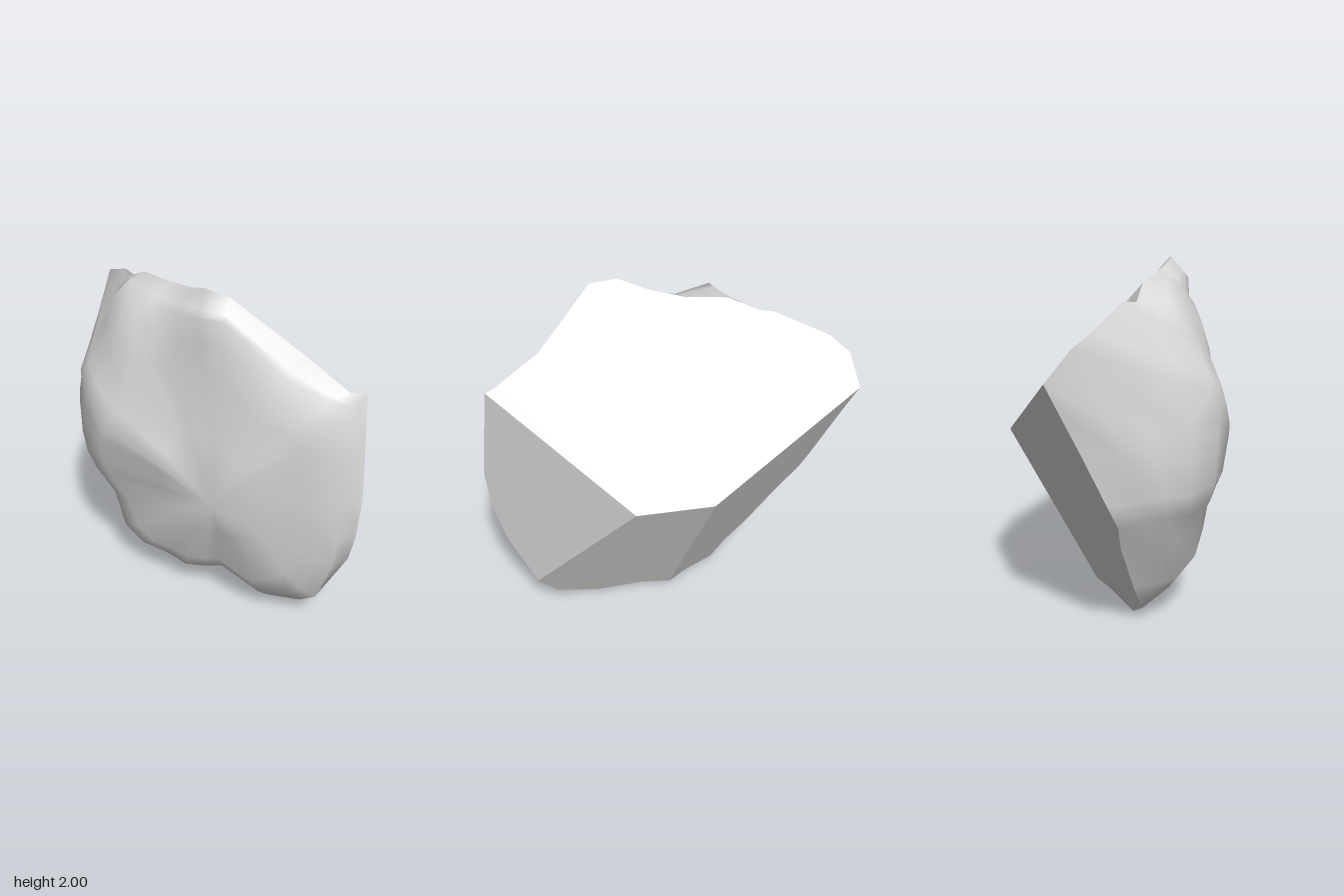
import * as THREE from 'three';

// Broken edge of the stone, anticlockwise from the top as seen from the front
const RIM = [
  [.04, 2, .38], [-.08, 1.95, .27], [-.25, 1.91, .13], [-.46, 1.90, .01], [-.61, 1.82, -.08],
  [-.66, 1.83, -.17], [-.88, 1.72, -.40], [-.93, 1.65, -.52], [-.91, 1.49, -.65], [-.90, 1.35, -.58],
  [-.90, 1.13, -.47], [-.89, .85, -.335], [-.88, .72, -.27], [-.75, .55, -.21], [-.61, .25, -.085],
  [-.53, .08, 0], [-.40, 0, -.01], [-.15, .05, -.07], [0, .05, -.10], [.15, .05, -.01],
  [.42, .03, .11], [.68, .12, .17], [.78, .22, .21], [.88, .50, .38], [.92, .70, .44],
  [.94, .97, .46], [.92, 1.28, .41], [.90, 1.55, .37], [.82, 1.55, .40], [.57, 1.70, .36], [.19, 1.99, .43],
];
// Worn shoulder just inside the edge, point for point
const SHOULDER = [
  [.04, 1.88, .49], [-.10, 1.86, .41], [-.30, 1.85, .30], [-.46, 1.92, .19], [-.58, 1.80, .19],
  [-.60, 1.60, .26], [-.70, 1.43, .30], [-.77, 1.36, .27], [-.85, 1.23, .13], [-.87, 1.15, .12],
  [-.88, 1.04, .12], [-.88, .85, .12], [-.82, .72, .15], [-.70, .53, .12], [-.62, .27, .16],
  [-.48, .16, .18], [-.30, .12, .18], [-.15, .08, .24], [0, .11, .25], [.13, .15, .25],
  [.41, .04, .31], [.62, .13, .39], [.72, .23, .45], [.81, .50, .48], [.84, .72, .51],
  [.85, .97, .50], [.84, 1.25, .50], [.83, 1.46, .47], [.73, 1.53, .47], [.50, 1.62, .49], [.18, 1.88, .50],
];
// Depth of the front face a third of the way from shoulder to peak
const FACE_DEPTH = [
  .49, .48, .46, .44, .45, .47, .50, .505, .50, .49, .475, .455, .44, .43, .43, .44,
  .445, .45, .455, .465, .50, .515, .53, .54, .55, .56, .565, .57, .57, .57, .51,
];
const PEAK = [.16, .87, .65];
const BACK_RIDGE = [.05, 1.04, -.61];
const BACK_CORNER = [.44, 1.02, -.42];

const mix = (a, b, t) => a.map((v, k) => v + (b[k] - v) * t);

// Ring on the flank at t from edge (0) to shoulder (1), pushed sideways near the far left of the front
function flankRing(t, push) {
  return RIM.map((p, i) => {
    const [x, y, z] = mix(p, SHOULDER[i], t);
    return [x + push * Math.exp(-(((i - 9) / 1.3) ** 2)), y, z];
  });
}

// Ring of the front face at t from shoulder (0) to peak (1)
function faceRing(t, depth) {
  return SHOULDER.map((s, i) => {
    const [x, y] = mix(s, PEAK, t);
    return [x, y, depth(s[2], FACE_DEPTH[i])];
  });
}

// Smooth weathered front, built from rings running in to the peak
function weatheredFace() {
  const rings = [
    RIM,
    flankRing(.35, -.06),
    flankRing(.7, .02),
    SHOULDER,
    faceRing(.13, (s, d) => s + (d - s) * .6),
    faceRing(.3, (s, d) => d),
    faceRing(.65, (s, d) => d + (PEAK[2] - d) * .25),
  ];
  const n = RIM.length;
  const index = [];
  for (let r = 0; r < rings.length - 1; r++) {
    for (let i = 0; i < n; i++) {
      const a = r * n + i, b = r * n + (i + 1) % n;
      index.push(a, b, b + n, a, b + n, a + n);
    }
  }
  const last = (rings.length - 1) * n, centre = rings.length * n;
  for (let i = 0; i < n; i++) index.push(last + i, last + (i + 1) % n, centre);
  const geo = new THREE.BufferGeometry();
  geo.setAttribute('position', new THREE.Float32BufferAttribute([...rings.flat(2), ...PEAK], 3));
  geo.setIndex(index);
  geo.computeVertexNormals();
  return geo;
}

// Flat split face: a fan from its first corner with one shared normal
function splitFace(points) {
  const v = points.map((p) => new THREE.Vector3(...p));
  const normal = new THREE.Vector3();
  const index = [];
  for (let i = 1; i < v.length - 1; i++) {
    normal.add(v[i].clone().sub(v[0]).cross(v[i + 1].clone().sub(v[0])));
    index.push(0, i, i + 1);
  }
  normal.normalize();
  const geo = new THREE.BufferGeometry().setFromPoints(v);
  geo.setAttribute('normal', new THREE.Float32BufferAttribute(v.flatMap(() => normal.toArray()), 3));
  geo.setIndex(index);
  return geo;
}

// Rim points from one number down to another, wrapping round
function rimBack(from, to) {
  const out = [];
  for (let i = from; i >= to; i--) out.push(RIM[(i + RIM.length) % RIM.length]);
  return out;
}

export function createModel() {
  const stone = new THREE.MeshStandardMaterial({ color: 0xd8d8d8, side: THREE.DoubleSide });
  stone.name = 'grey stone';
  const group = new THREE.Group();
  group.name = 'rock';
  const add = (name, geo) => {
    const mesh = new THREE.Mesh(geo, stone);
    mesh.name = name;
    group.add(mesh);
  };
  add('weatheredFront', weatheredFace());
  add('topSplitFace', splitFace([BACK_CORNER, BACK_RIDGE, ...rimBack(8, -4)]));
  add('leftSplitFace', splitFace([BACK_CORNER, ...rimBack(27, 22)]));
  add('lowerBackSplitFace', splitFace([BACK_CORNER, ...rimBack(22, 18), BACK_RIDGE]));
  add('rightBackSplitFace', splitFace([BACK_RIDGE, ...rimBack(18, 8)]));
  return group;
}
